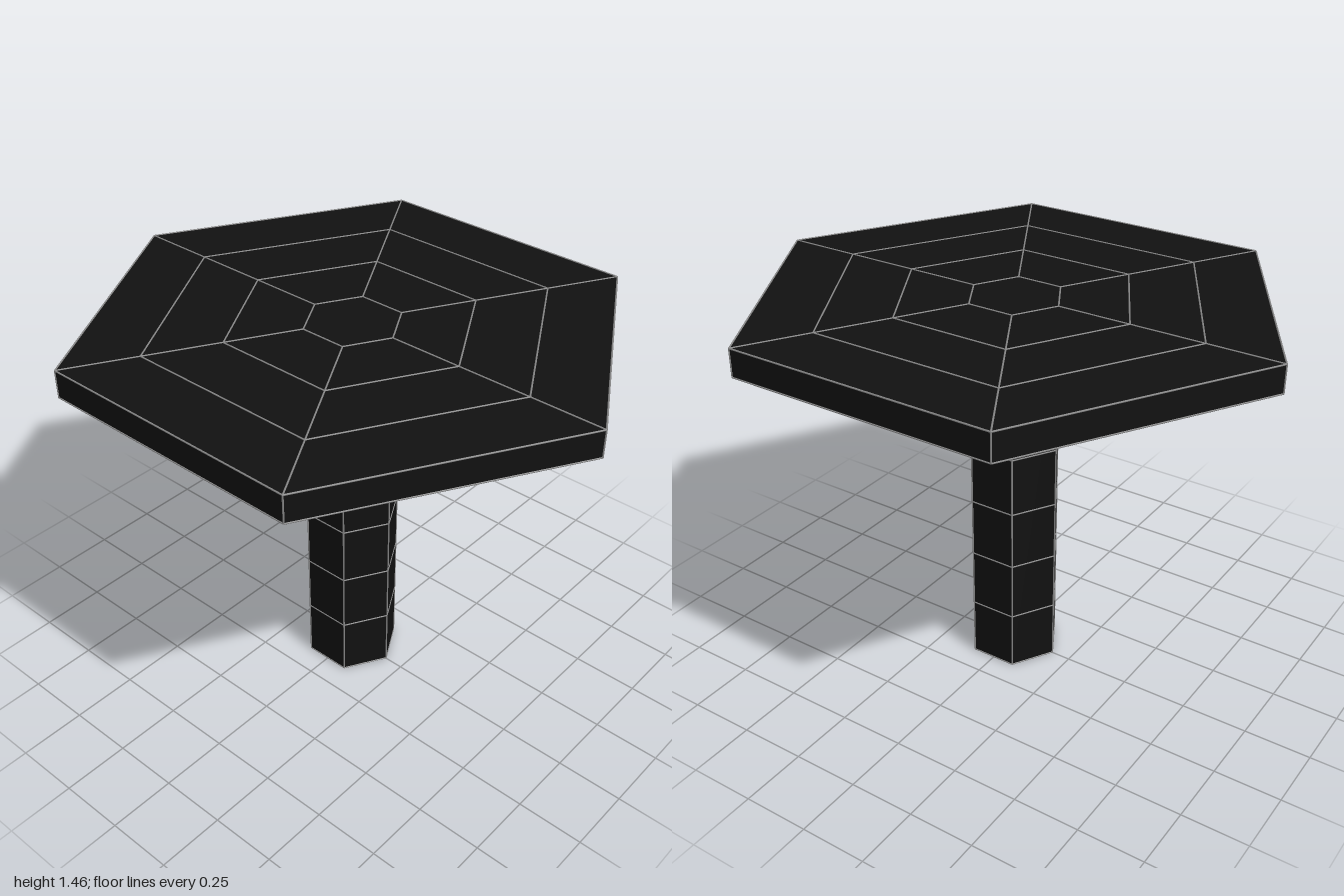
import * as THREE from 'three';
import { mergeGeometries } from 'three/addons/utils/BufferGeometryUtils.js';

const T = 0.003; // radius of the thin edge rods
const POST_R = 0.175, POST_H = 1.357, TOP_R = 0.997, TOP_Y = 1.457;

const corner = (r, i, y) =>
  new THREE.Vector3(r * Math.cos(i * Math.PI / 3), y, r * Math.sin(i * Math.PI / 3));

// Thin rod between two points
function rod(a, b) {
  const dir = b.clone().sub(a);
  const g = new THREE.CylinderGeometry(T, T, dir.length(), 6);
  g.applyQuaternion(new THREE.Quaternion().setFromUnitVectors(new THREE.Vector3(0, 1, 0), dir.normalize()));
  const m = a.clone().add(b).multiplyScalar(0.5);
  return g.translate(m.x, m.y, m.z);
}

// Hexagonal prism with corners on the x axis
function hexPrism(r, y0, y1, material, name) {
  const g = new THREE.CylinderGeometry(r, r, y1 - y0, 6, 1, false, Math.PI / 2);
  const mesh = new THREE.Mesh(g, material);
  mesh.position.y = (y0 + y1) / 2;
  mesh.name = name;
  return mesh;
}

export function createModel() {
  const group = new THREE.Group();
  const dark = new THREE.MeshStandardMaterial({ color: 0x111111, flatShading: true });
  const grey = new THREE.MeshStandardMaterial({ color: 0x888888 });

  // Solid bodies
  group.add(hexPrism(POST_R, T, POST_H, dark, 'post'));
  group.add(hexPrism(TOP_R, POST_H, TOP_Y, dark, 'tableTop'));

  const topRods = [], postRods = [];
  const ring = (list, r, y) => {
    for (let i = 0; i < 6; i++) list.push(rod(corner(r, i, y), corner(r, i + 1, y)));
  };

  // Web of rings and spokes on both faces of the top
  for (const y of [POST_H, TOP_Y]) {
    for (let k = 0; k < 4; k++) ring(topRods, THREE.MathUtils.lerp(POST_R, TOP_R, k / 3), y);
    for (let i = 0; i < 6; i++) topRods.push(rod(corner(POST_R, i, y), corner(TOP_R, i, y)));
  }
  // Rim corners and post corners
  for (let i = 0; i < 6; i++) {
    topRods.push(rod(corner(TOP_R, i, POST_H), corner(TOP_R, i, TOP_Y)));
    postRods.push(rod(corner(POST_R, i, T), corner(POST_R, i, POST_H)));
  }
  // Evenly spaced bands up the post
  for (let k = 0; k < 6; k++) ring(postRods, POST_R, T + (POST_H - T) * k / 6);

  for (const [name, list] of [['topEdgeLines', topRods], ['postEdgeLines', postRods]]) {
    const mesh = new THREE.Mesh(mergeGeometries(list), grey);
    mesh.name = name;
    group.add(mesh);
  }
  return group;
}
